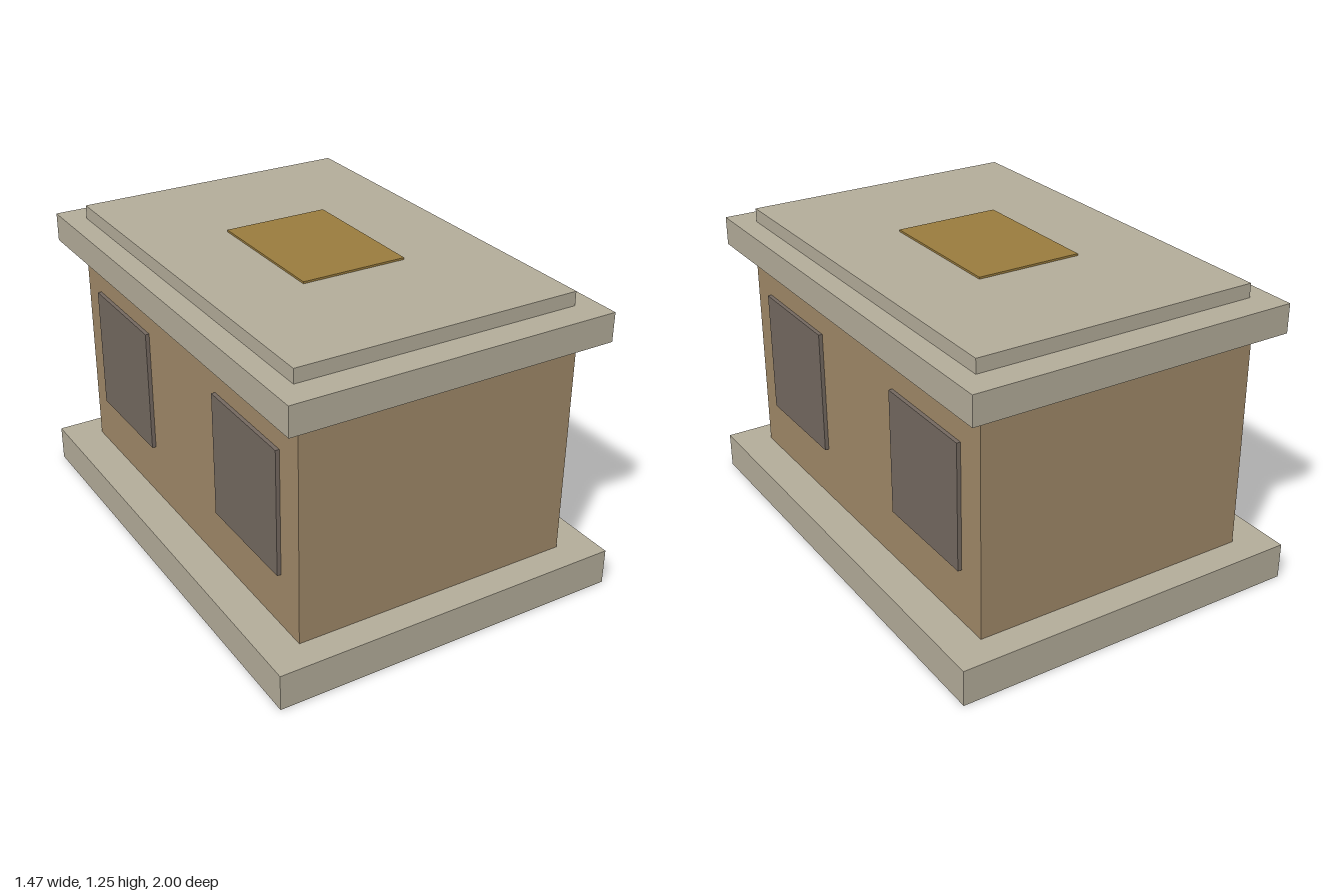
import * as THREE from 'three';

const material = (name, color) => {
  const m = new THREE.MeshStandardMaterial({ color });
  m.name = name;
  return m;
};

export function createModel() {
  const model = new THREE.Group();
  model.name = 'stoneTomb';

  const stone = material('pale stone', 0xb5ae9b);
  const wall = material('tan wall', 0xa18a69);
  const panel = material('dark panel', 0x756a61);
  const gold = material('old gold', 0x9b7d3e);

  // Box spanning y0 to y1, centred on x and z
  const slab = (name, mat, width, y0, y1, depth, x = 0, z = 0) => {
    const mesh = new THREE.Mesh(new THREE.BoxGeometry(width, y1 - y0, depth), mat);
    mesh.name = name;
    mesh.position.set(x, (y0 + y1) / 2, z);
    model.add(mesh);
  };

  // Stacked block: plinth, body, cornice and lid
  slab('plinth', stone, 1.466, 0, 0.148, 2);
  slab('body', wall, 1.172, 0.148, 1.062, 1.76);
  slab('cornice', stone, 1.346, 1.062, 1.18, 1.94);
  slab('lid', stone, 1.172, 1.18, 1.237, 1.705);

  // Thin plaque on the lid
  slab('plaque', gold, 0.44, 1.237, 1.245, 0.59);

  // Two raised panels on each long side
  for (const side of [1, -1]) {
    for (const end of [1, -1]) {
      const name = `${side > 0 ? 'left' : 'right'}${end > 0 ? 'Front' : 'Back'}Panel`;
      slab(name, panel, 0.03, 0.37, 0.886, 0.472, side * 0.587, end * 0.518);
    }
  }

  return model;
}
